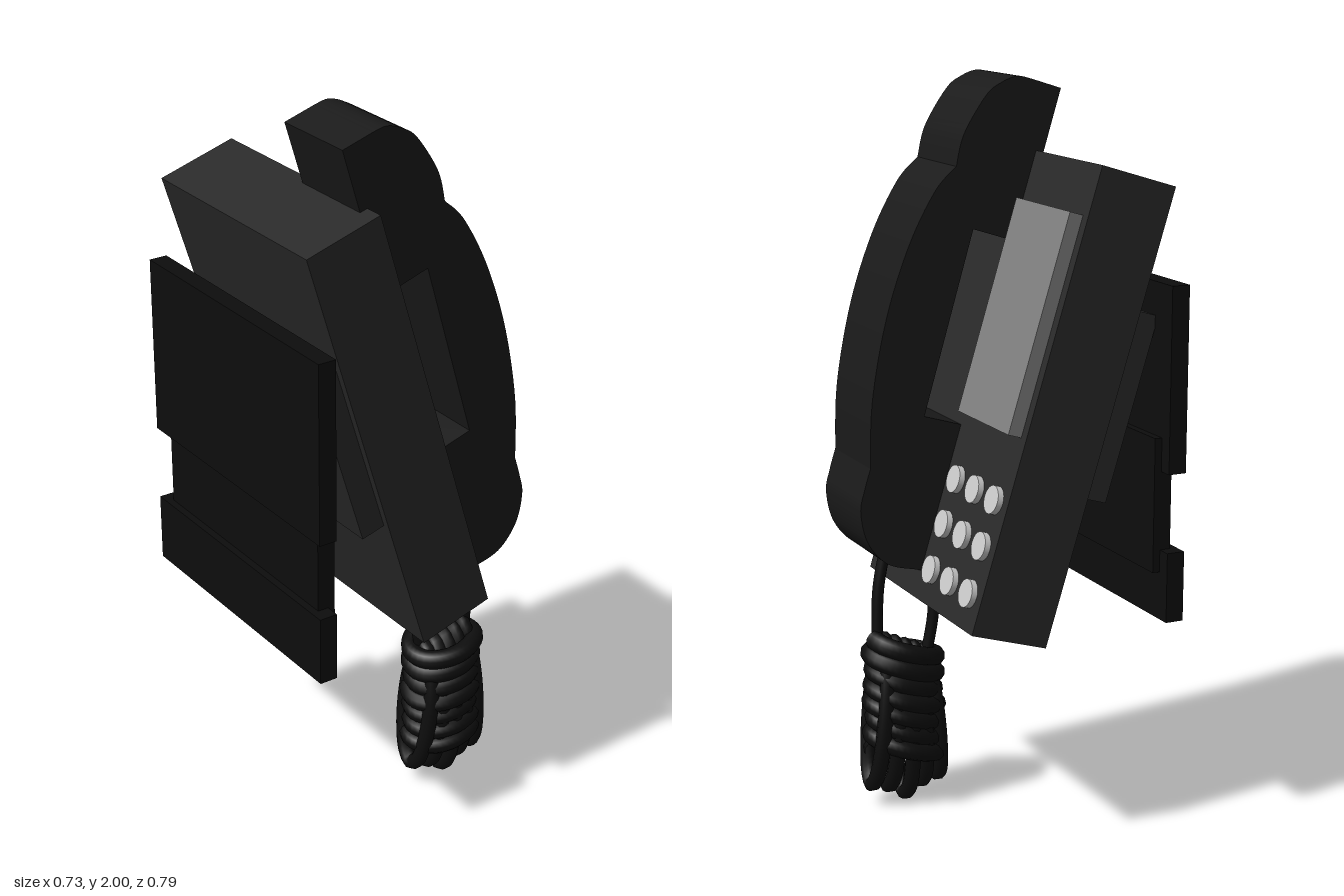
import * as THREE from 'three';

const TILT = 0.298;
const mat = (color) => new THREE.MeshStandardMaterial({ color });
const MATS = {
  body: mat(0x2a2a2a),
  handset: mat(0x1a1a1a),
  dark: mat(0x0d0d0d),
  screen: mat(0x808080),
  button: mat(0xcccccc),
};

function addMesh(parent, name, geometry, material) {
  const mesh = new THREE.Mesh(geometry, material);
  mesh.name = name;
  parent.add(mesh);
  return mesh;
}

// Box given by its limits on each axis
function addBox(parent, name, material, [x0, x1], [y0, y1], [z0, z1]) {
  const mesh = addMesh(parent, name, new THREE.BoxGeometry(x1 - x0, y1 - y0, z1 - z0), material);
  mesh.position.set((x0 + x1) / 2, (y0 + y1) / 2, (z0 + z1) / 2);
  return mesh;
}

function addTube(parent, name, points, radius, segments, closed = false) {
  const curve = new THREE.CatmullRomCurve3(points, closed);
  return addMesh(parent, name, new THREE.TubeGeometry(curve, segments, radius, 10, closed), MATS.dark);
}

function createWallPlate() {
  const plate = new THREE.Group();
  plate.name = 'wallPlate';
  addBox(plate, 'upperPlate', MATS.dark, [-0.365, -0.315], [1.01, 1.5], [-0.395, 0.395]);
  addBox(plate, 'middlePlate', MATS.dark, [-0.345, -0.295], [0.74, 1.1], [-0.356, 0.356]);
  addBox(plate, 'lowerPlate', MATS.dark, [-0.365, -0.315], [0.612, 0.8], [-0.395, 0.395]);
  return plate;
}

// Leaning housing with its mount, screen and keypad; local +x is the face
function createHousing() {
  const housing = new THREE.Group();
  housing.name = 'housing';
  housing.position.set(-0.07, 1.188, 0);
  housing.rotation.z = TILT;
  addBox(housing, 'body', MATS.body, [-0.11, 0.11], [-0.612, 0.612], [-0.333, 0.333]);
  addBox(housing, 'rearMount', MATS.body, [-0.178, -0.1], [-0.214, 0.286], [-0.31, 0.31]);
  addBox(housing, 'screen', MATS.screen, [0.1, 0.148], [-0.096, 0.481], [-0.305, -0.005]);
  for (const y of [-0.519, -0.393, -0.27]) {
    for (const z of [-0.037, -0.152, -0.267]) {
      const key = addMesh(housing, 'button', new THREE.CylinderGeometry(0.037, 0.037, 0.04, 32), MATS.button);
      key.rotation.z = -Math.PI / 2;
      key.position.set(0.106, y, z);
    }
  }
  return housing;
}

// Handset outline extruded across its width
function createHandset() {
  const v = (pts) => pts.map(([x, y]) => new THREE.Vector2(x, y));
  const s = new THREE.Shape();
  s.moveTo(-0.095, 1.567);
  s.lineTo(0.037, 1.61);
  s.lineTo(0.18, 1.125);
  s.lineTo(0.055, 1.087);
  s.lineTo(0.175, 0.7);
  s.lineTo(0.21, 0.71);
  // mouthpiece
  s.splineThru(v([[0.29, 0.735], [0.345, 0.8], [0.364, 0.885], [0.352, 0.945], [0.335, 1.0]]));
  // grip
  s.splineThru(v([[0.327, 1.18], [0.285, 1.393], [0.22, 1.578], [0.145, 1.715], [0.085, 1.775]]));
  // earpiece
  s.splineThru(v([[0.063, 1.857], [0.0, 1.953], [-0.045, 1.985], [-0.09, 1.999], [-0.13, 1.991]]));
  s.lineTo(-0.216, 1.964);
  const geometry = new THREE.ExtrudeGeometry(s, { depth: 0.247, bevelEnabled: false, curveSegments: 6 });
  geometry.translate(0, 0, 0.031);
  const handset = new THREE.Mesh(geometry, MATS.handset);
  handset.name = 'handset';
  return handset;
}

function createCord() {
  const cord = new THREE.Group();
  cord.name = 'cord';
  const P = (x, y, z) => new THREE.Vector3(x, y, z);
  const cx = 0.19, cz = 0.165;

  // Leads from the housing and the handset
  addTube(cord, 'housingLead', [P(0.105, 0.64, 0.149), P(0.106, 0.54, 0.149), P(0.125, 0.42, 0.155)], 0.016, 16);
  addTube(cord, 'handsetLead', [P(0.235, 0.74, 0.174), P(0.258, 0.62, 0.174), P(0.265, 0.46, 0.17)], 0.016, 16);

  // Hanging loops fanned out at the bottom
  for (let i = 0; i < 5; i++) {
    const t = (i - 2) / 2;
    const low = 0.022 + 0.04 * Math.abs(t) + (i % 2) * 0.008;
    const pts = [];
    for (let k = 0; k < 12; k++) {
      const a = (k / 12) * Math.PI * 2;
      const h = 0.5 - 0.5 * Math.cos(a);
      pts.push(P(
        cx + t * (0.098 - 0.04 * h),
        low + (0.455 - low + 0.025 * t) * h,
        cz + (0.07 - 0.012 * Math.abs(t)) * Math.sin(a)
      ));
    }
    addTube(cord, 'hangingLoop', pts, 0.022, 56, true);
  }

  // Coil wound around the loops, rising slightly to the left side
  const turns = 7;
  const coil = [];
  for (let k = 0; k <= turns * 12; k++) {
    const a = (k / 12) * Math.PI * 2;
    const wobble = 1 + 0.05 * Math.sin(a * 0.37);
    coil.push(P(
      cx + 0.09 * wobble * Math.cos(a),
      0.135 + 0.325 * (k / (turns * 12)) + 0.022 * Math.cos(a),
      cz + 0.075 * wobble * Math.sin(a)
    ));
  }
  addTube(cord, 'woundCoil', coil, 0.026, turns * 36);
  return cord;
}

export function createModel() {
  const model = new THREE.Group();
  model.name = 'wallTelephone';
  model.add(createWallPlate(), createHousing(), createHandset(), createCord());
  return model;
}
